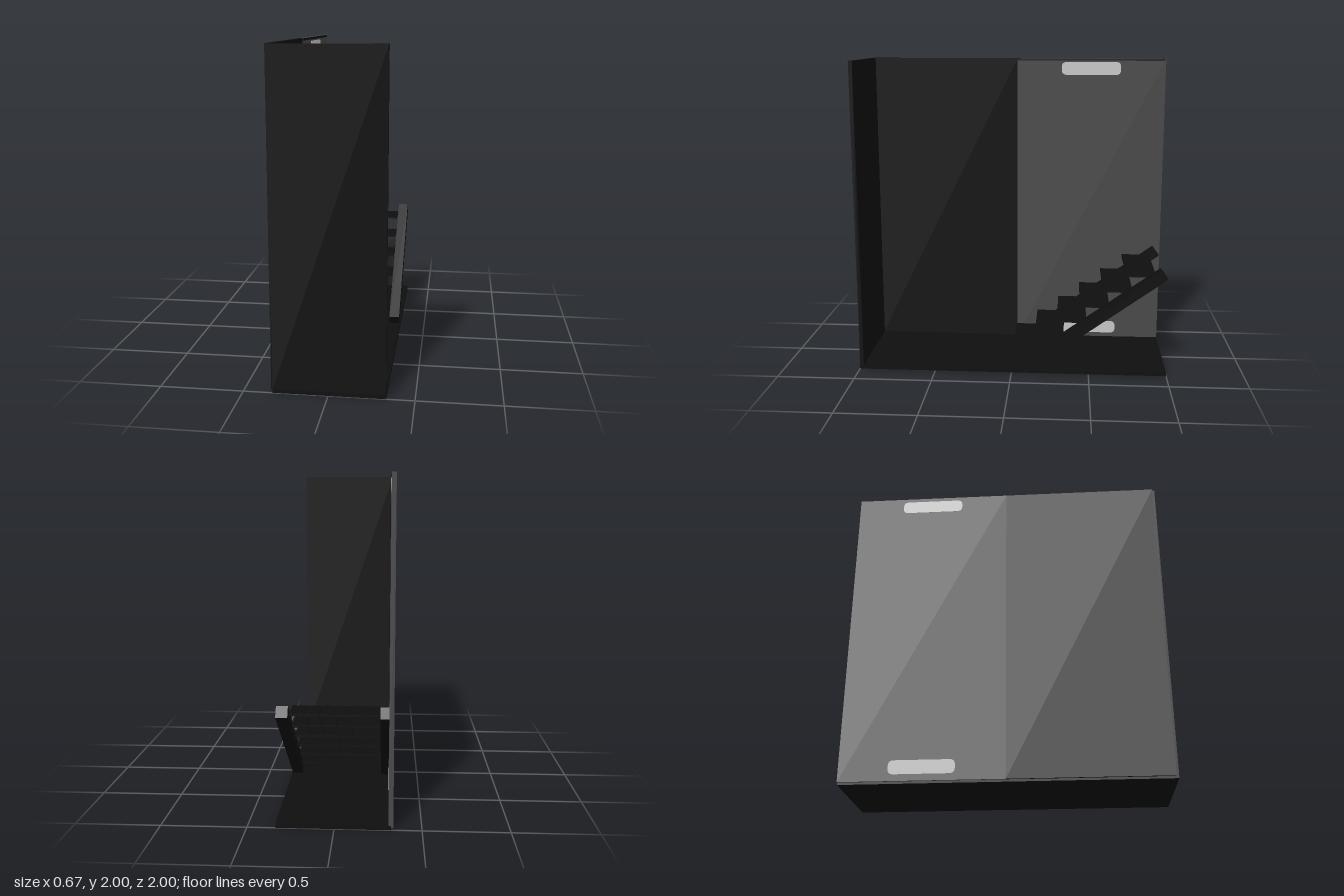
import * as THREE from 'three';

const material = (name, color) => {
  const m = new THREE.MeshStandardMaterial({ color });
  m.name = name;
  return m;
};

export function createModel() {
  const black = material('black', 0x0e0e0e);
  const grey = material('grey', 0x484848);
  const light = material('lightGrey', 0xc6c6c6);
  const model = new THREE.Group();

  // Box given by its minimum and maximum corners
  function box(name, mat, min, max, parent = model) {
    const size = max.map((v, i) => v - min[i]);
    const mesh = new THREE.Mesh(new THREE.BoxGeometry(...size), mat);
    mesh.position.set(...max.map((v, i) => (v + min[i]) / 2));
    mesh.name = name;
    parent.add(mesh);
    return mesh;
  }

  // Enclosure: floor, front and side wall
  box('floor', black, [-0.325, 0, -1], [0.335, 0.025, 1]);
  box('frontPanel', black, [-0.325, 0.025, 0.975], [0.335, 2, 1]);
  box('solidWall', black, [-0.337, 0.014, 0], [-0.31, 2, 0.985]);
  box('greyWall', grey, [-0.337, 0.014, -1], [-0.31, 2, 0]);
  box('wallTopTrim', black, [-0.31, 1.984, -0.995], [-0.308, 1.999, 0]);

  // Rounded light plates on both faces of the grey wall
  const w = 0.2, h = 0.043, r = 0.034;
  const shape = new THREE.Shape();
  shape.moveTo(-w + r, -h);
  shape.lineTo(w - r, -h);
  shape.quadraticCurveTo(w, -h, w, -h + r);
  shape.lineTo(w, h - r);
  shape.quadraticCurveTo(w, h, w - r, h);
  shape.lineTo(-w + r, h);
  shape.quadraticCurveTo(-w, h, -w, h - r);
  shape.lineTo(-w, -h + r);
  shape.quadraticCurveTo(-w, -h, -w + r, -h);
  const plate = new THREE.ExtrudeGeometry(shape, { depth: 0.004, bevelEnabled: false, curveSegments: 6 });
  plate.rotateY(Math.PI / 2);
  for (const y of [0.097, 1.932]) {
    for (const x of [-0.312, -0.339]) {
      const mesh = new THREE.Mesh(plate, light);
      mesh.name = 'slotPlate';
      mesh.position.set(x, y, -0.5);
      model.add(mesh);
    }
  }

  // Stairs: two sloping stringers and six planked treads
  const stairs = new THREE.Group();
  stairs.name = 'stairs';
  model.add(stairs);
  const rise = 0.615, run = 0.85;
  for (const [x, width] of [[-0.284, 0.05], [0.296, 0.068]]) {
    const stringer = new THREE.Mesh(new THREE.BoxGeometry(width, 0.072, Math.hypot(rise, run)), black);
    stringer.name = 'stringer';
    stringer.position.set(x, 0.367, -0.545);
    stringer.rotation.x = Math.atan2(rise, run);
    stairs.add(stringer);
  }
  const planks = 6, left = -0.26, step = 0.523 / planks;
  for (let i = 0; i < 6; i++) {
    const y = 0.12 + i * 0.105, z = -i * 0.1465;
    for (let j = 0; j < planks; j++) {
      const x = left + j * step;
      box('treadPlank', black, [x, y - 0.007, z - 0.19], [x + step - 0.003, y + 0.007, z], stairs);
    }
  }
  return model;
}
